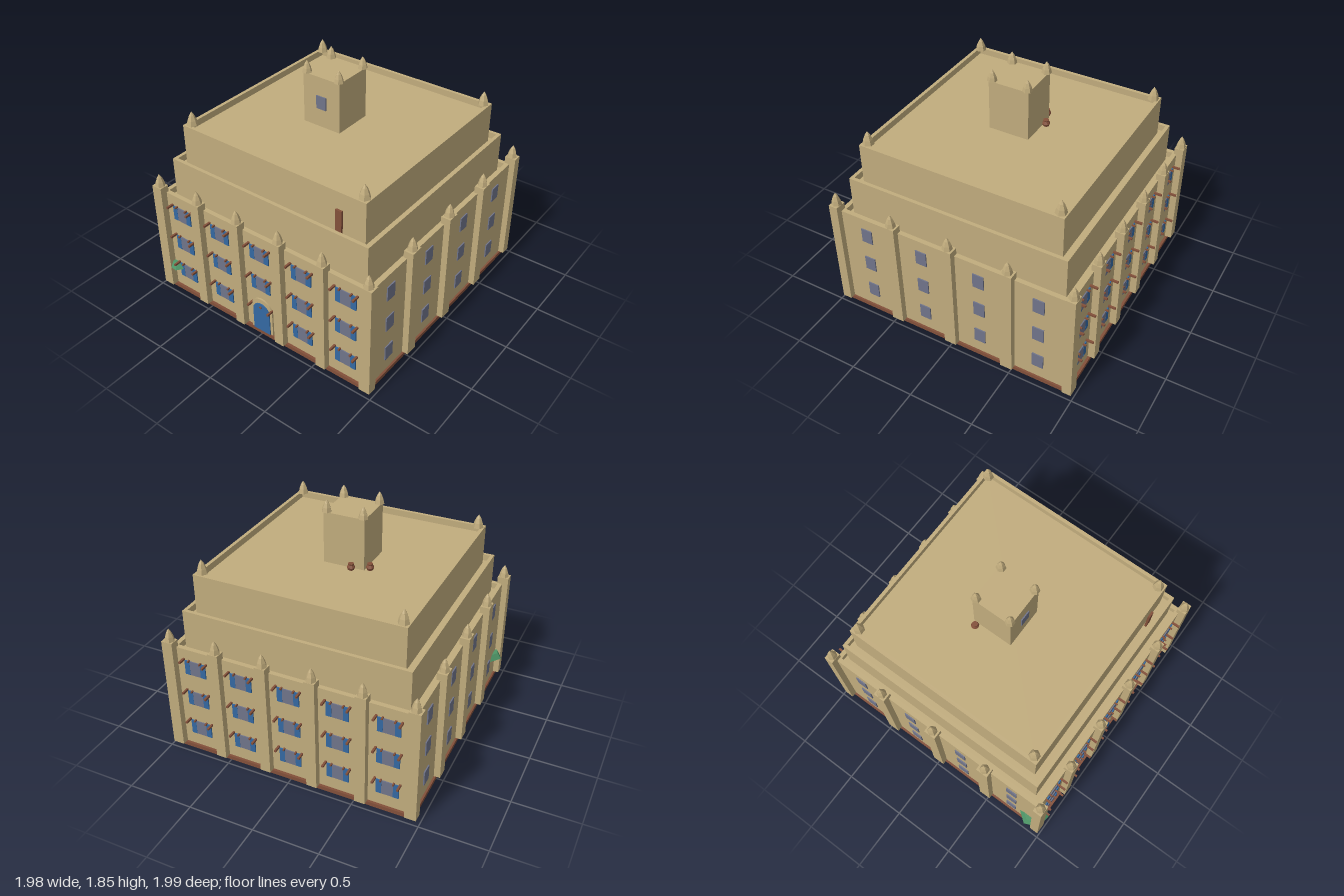
import * as THREE from 'three';

const mat = (name, color) => {
  const m = new THREE.MeshStandardMaterial({ color });
  m.name = name;
  return m;
};

export function createModel() {
  const stone = mat('sandstone', 0xc1ac7d);
  const brown = mat('brown wood', 0x83503a);
  const blue = mat('blue paint', 0x3469a2);
  const glass = mat('grey glass', 0x70748a);
  const green = mat('green canvas', 0x4d9566);
  stone.flatShading = brown.flatShading = green.flatShading = true;

  const model = new THREE.Group();
  model.name = 'building';
  const CX = 0.004; // the building sits slightly off centre

  const add = (name, geo, material, x = 0, y = 0, z = 0, parent = model) => {
    const mesh = new THREE.Mesh(geo, material);
    mesh.name = name;
    mesh.position.set(x, y, z);
    parent.add(mesh);
    return mesh;
  };
  const box = (name, material, w, h, d, x, y, z, parent) =>
    add(name, new THREE.BoxGeometry(w, h, d), material, x, y, z, parent);

  // Six-sided bullet-shaped finial
  const spire = (x, y, z, r, h) => {
    const pts = [[1, 0], [0.8, 0.36], [0.45, 0.72], [0, 1]]
      .map(([a, b]) => new THREE.Vector2(a * r, b * h));
    add('spire', new THREE.LatheGeometry(pts, 6, Math.PI / 6), stone, x, y, z);
  };

  // Storey block with a sunken roof behind a parapet
  const tier = (name, half, y0, y1, wall, sink) => {
    const roof = y1 - sink;
    box(name, stone, half * 2, roof - y0, half * 2, CX, (roof + y0) / 2, 0);
    const square = (C, s) => new C([[-s, -s], [s, -s], [s, s], [-s, s]]
      .map(([x, y]) => new THREE.Vector2(x, y)));
    const ring = square(THREE.Shape, half);
    ring.holes.push(square(THREE.Path, half - wall));
    const geo = new THREE.ExtrudeGeometry(ring, { depth: sink, bevelEnabled: false });
    geo.rotateX(-Math.PI / 2);
    add(name + 'Parapet', geo, stone, CX, roof, 0);
  };

  // Plinth and three stepped storeys
  box('plinth', brown, 1.9, 0.03, 1.91, CX, 0.015, 0);
  tier('lowerStorey', 0.935, 0.03, 0.88, 0.035, 0.05);
  tier('middleStorey', 0.863, 0.83, 1.15, 0.027, 0.05);
  tier('upperStorey', 0.793, 1.1, 1.42, 0.027, 0.05);
  for (const sx of [-1, 1]) for (const sz of [-1, 1])
    spire(CX + sx * 0.746, 1.42, sz * 0.746, 0.042, 0.105);

  // Piers with spires on all faces
  const pier = (x, z, w, d) => {
    box('pier', stone, w, 0.905, d, x, 0.4825, z);
    spire(x, 0.935, z, 0.039, 0.1);
  };
  for (const s of [-1, 1]) {
    for (let i = 0; i < 6; i++) pier(CX + (i - 2.5) * 0.3735, s * 0.951, 0.08, 0.072);
    for (let i = -1; i <= 1; i++) pier(CX + s * 0.945, i * 0.469, 0.075, 0.095);
    for (const z of [-1, 1]) // corner piers, side part
      box('cornerPier', stone, 0.075, 0.905, 0.072, CX + s * 0.943, 0.4825, z * 0.951);
  }

  // Windows: shuttered on front and back, plain on the sides
  const rows = [0.194, 0.462, 0.731];
  const shutteredWindow = (face, x, y, isDoor) => {
    const g = new THREE.Group();
    g.name = 'shutteredWindow';
    g.position.set(x, y, 0.935);
    face.add(g);
    if (!isDoor) {
      box('pane', glass, 0.086, 0.116, 0.008, 0, 0, 0.004, g);
      for (const s of [-1, 1])
        box('shutter', blue, 0.042, 0.116, 0.009, s * 0.064, 0, 0.0045, g);
    }
    for (const s of [-1, 1]) {
      box('bracket', brown, 0.015, 0.015, 0.06, s * 0.093, 0.064, 0.03, g);
      if (!isDoor) box('smallBracket', brown, 0.012, 0.012, 0.025, s * 0.047, 0.062, 0.0125, g);
    }
    if (isDoor) box('doorKnob', brown, 0.015, 0.015, 0.03, 0, 0.064, 0.015, g);
  };
  for (const front of [true, false]) {
    const face = new THREE.Group();
    face.name = front ? 'frontWindows' : 'backWindows';
    face.position.x = CX;
    if (!front) face.rotation.y = Math.PI;
    model.add(face);
    for (let i = -2; i <= 2; i++)
      rows.forEach((y, r) => shutteredWindow(face, i * 0.3735, y, front && i === 0 && r === 0));
  }
  for (const s of [-1, 1]) for (let i = 0; i < 4; i++) for (const y of rows)
    box('sideWindow', glass, 0.009, 0.118, 0.088, CX + s * 0.9395, y, (i - 1.5) * 0.468);

  // Arched front door and its surround
  const arch = (r, spring) => {
    const s = new THREE.Shape();
    s.moveTo(-r, 0.03);
    s.lineTo(r, 0.03);
    s.lineTo(r, spring);
    s.absarc(0, spring, r, 0, Math.PI, false);
    s.closePath();
    return s;
  };
  const slab = (shape, depth) =>
    new THREE.ExtrudeGeometry(shape, { depth, bevelEnabled: false, curveSegments: 12 });
  add('doorSurround', slab(arch(0.098, 0.226), 0.015), stone, CX, 0, 0.933);
  add('frontDoor', slab(arch(0.076, 0.211), 0.008), blue, CX, 0, 0.948);

  // Terrace door
  box('terraceDoor', brown, 0.05, 0.19, 0.016, 0.596, 1.2, 0.808);

  // Roof tower with window and corner spires
  const TX = -0.047;
  box('tower', stone, 0.314, 0.4, 0.314, TX, 1.56, 0);
  box('towerWindow', glass, 0.084, 0.1, 0.009, -0.045, 1.565, 0.1615);
  for (const sx of [-1, 1]) for (const sz of [-1, 1])
    spire(TX + sx * 0.139, 1.76, sz * 0.139, 0.037, 0.09);

  // Pots beside the tower
  const potProfile = [[0, 0], [0.022, 0], [0.03, 0.02], [0.02, 0.038], [0.022, 0.048], [0, 0.048]]
    .map(([a, b]) => new THREE.Vector2(a, b));
  for (const [x, z] of [[-0.236, -0.126], [-0.114, -0.182]])
    add('pot', new THREE.LatheGeometry(potProfile, 8), brown, x, 1.37, z);

  // Hexagonal canopy round the front corner
  const canopy = add('cornerCanopy', new THREE.CylinderGeometry(0.088, 0.118, 0.046, 6),
    green, -0.88, 0.228, 0.883);
  canopy.rotation.y = Math.PI / 6 - 0.14;

  return model;
}
